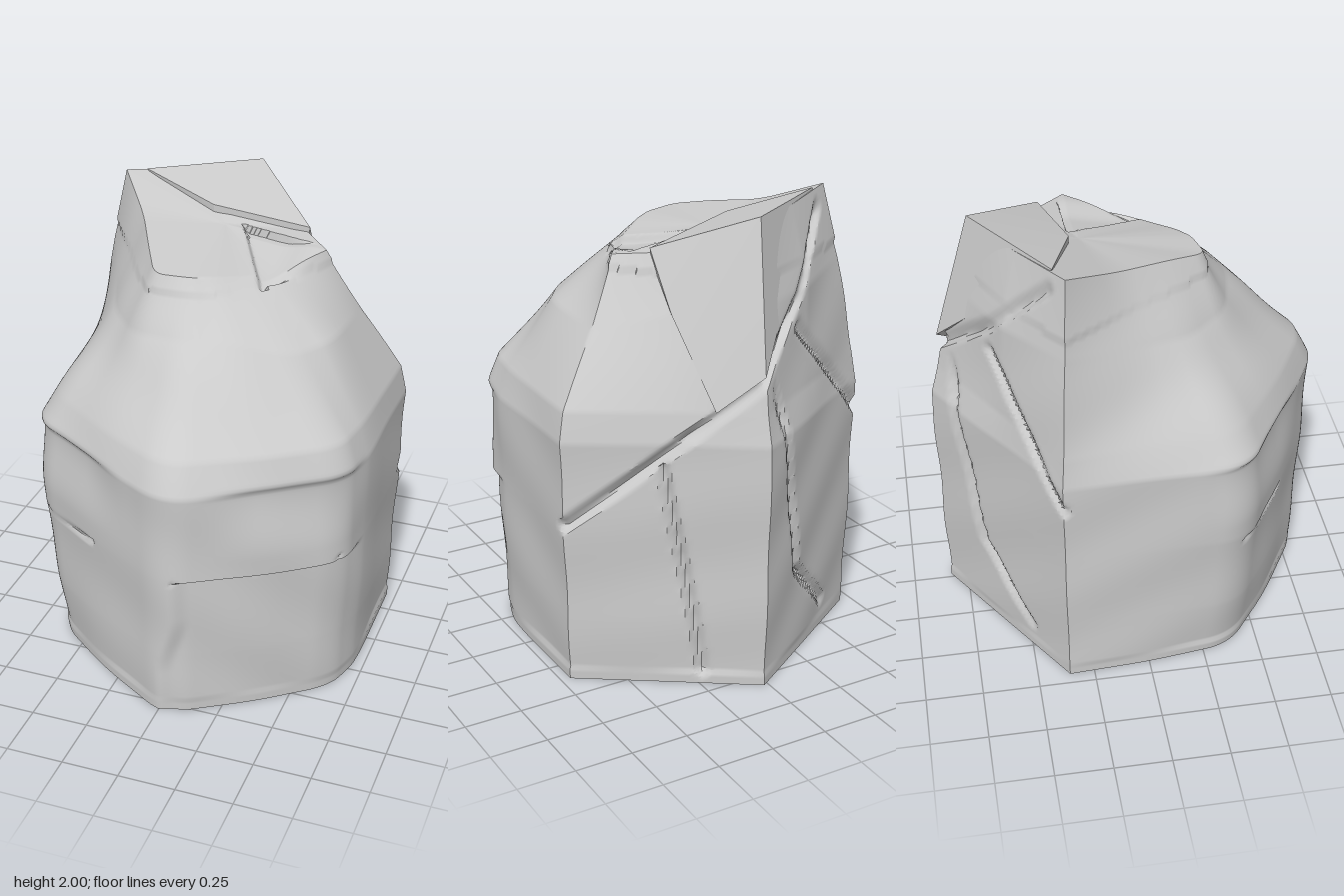
import * as THREE from 'three';
import { toCreasedNormals } from 'three/addons/utils/BufferGeometryUtils.js';
import { ConvexGeometry } from 'three/addons/geometries/ConvexGeometry.js';

const V = (p) => new THREE.Vector3(...p);
const smooth = THREE.MathUtils.smoothstep;

// Footprint corners (x, z), clockwise seen from above, starting at the back tip
const footprint = [
  [0.02, -0.84], [0.37, -0.61], [0.73, -0.38], [0.74, 0.15], [0.7, 0.43], [0.4, 0.66],
  [0.05, 0.86], [-0.35, 0.63], [-0.71, 0.42], [-0.7, 0], [-0.72, -0.37], [-0.34, -0.61],
];
// How far each corner draws in at the ground
const tuck = [0.985, 0.98, 0.97, 0.96, 0.96, 0.96, 0.97, 0.96, 0.89, 0.97, 0.97, 0.98];
// Where each corner runs on to: a point on the sloping shoulder and one on the top rim
const shoulder = [
  [0, 1.65, -0.72], [0.28, 1.6, -0.47], [0.54, 1.52, -0.29], [0.53, 1.54, 0.1], [0.41, 1.54, 0.29], [0.19, 1.6, 0.38],
  [0, 1.6, 0.43], [-0.25, 1.58, 0.38], [-0.4, 1.57, 0.2], [-0.48, 1.6, -0.02], [-0.63, 1.68, -0.34], [-0.33, 1.65, -0.56],
];
const rim = [
  [-0.03, 1.98, -0.64], [0.27, 1.82, -0.34], [0.4, 1.8, -0.21], [0.25, 1.77, 0.03], [0.15, 1.78, 0.13], [0.05, 1.8, 0.22],
  [-0.03, 1.81, 0.27], [-0.18, 1.82, 0.3], [-0.27, 1.86, 0.13], [-0.38, 1.9, -0.09], [-0.55, 2, -0.32], [-0.28, 1.98, -0.49],
];
// Cracks and ledges: half width, depth, then the path
const cracks = [
  [0.036, 0.04, [[0.73, 0.73, -0.38], [0.22, 1.2, -0.71], [0.03, 1.36, -0.8], [-0.25, 1.62, -0.59], [-0.48, 1.92, -0.38]]],
  [0.032, 0.035, [[0.39, 1.0, -0.6], [0.27, 0.3, -0.67], [0.24, 0.06, -0.69]]],
  [0.034, 0.03, [[-0.26, 1.5, -0.62], [-0.74, 0.97, -0.37]]],
  [0.034, 0.03, [[-0.06, 1.33, -0.78], [-0.23, 0.43, -0.67], [-0.5, 0.13, -0.51]]],
  [0.02, 0.03, [[0.08, 0.69, 0.81], [0.39, 0.69, 0.64], [0.67, 0.71, 0.42]]],
  [0.02, 0.02, [[-0.66, 0.67, 0.42], [-0.36, 0.68, 0.62]]],
].map(([width, depth, path]) => ({
  width, depth,
  lines: path.slice(1).map((p, i) => new THREE.Line3(V(path[i]), V(p))),
}));

// Push a surface point inward for cracks, sunken front panels and gentle waves
function weather(p) {
  const near = new THREE.Vector3();
  let sink = 0.008 * (Math.sin(p.x * 7 + p.y * 5) * Math.sin(p.z * 6 - p.y * 7) + 0.4);
  if (p.y < 0.05 || p.y > 1.75) sink = 0;
  if (p.z > 0.2) {
    const front = smooth(p.z, 0.2, 0.45);
    // lower right panel under the ledge, its left edge wandering with height
    const edge = 0.03 + 0.07 * smooth(p.y, 0.2, 0.5);
    if (p.y < 0.7) sink += 0.03 * front * smooth(p.x, edge - 0.04, edge + 0.04);
    // hollows under the two brows
    const band = smooth(p.y, 0.78, 1.07) * (1 - smooth(p.y, 1.08, 1.12));
    sink += 0.025 * front * band * smooth(Math.abs(p.x), 0.15, 0.4);
  }
  let cut = 0;
  for (const { width, depth, lines } of cracks) {
    for (const line of lines) {
      const d = line.closestPointToPoint(p, true, near).distanceTo(p);
      cut = Math.max(cut, depth * (1 - d / width));
    }
  }
  // plateau drops along a short step on its right
  const right = p.x - 0.03 - (p.z + 0.22) * 0.53;
  if (p.y > 1.74 && p.z > -0.24) p.y -= 0.035 * smooth(right, -0.01, 0.02) * (1 - smooth(p.x, 0.2, 0.36));
  const inward = new THREE.Vector3(0, Math.min(p.y, 1.2), -0.1).sub(p);
  if (inward.lengthSq() > 0.01) p.addScaledVector(inward.normalize(), sink + cut);
  return p;
}

// Point on a ring of corners; the front corners are rounded, the back ones stay sharp
function ringPoint(row, i, f) {
  const n = row.length, r = 0.3;
  const at = (k) => row[(k + n) % n];
  const c = f < 0.5 ? i : (i + 1) % n;
  const off = f < 0.5 ? f : f - 1;
  if (c < 3 || c > 9 || Math.abs(off) >= r) return at(i).clone().lerp(at(i + 1), f);
  const start = at(c).clone().lerp(at(c - 1), r), end = at(c).clone().lerp(at(c + 1), r);
  return new THREE.QuadraticBezierCurve3(start, at(c), end).getPoint((off / r + 1) / 2);
}

// Main stone: rings of corners lofted from the base to the top
function bodyGeometry() {
  const ring = (scale, y) => footprint.map(([x, z], i) => V([x * scale(i), y, z * scale(i)]));
  const brow = [0.97, 0.97, 0.97, 0.965, 0.95, 0.95, 0.93, 0.93, 0.89, 0.93, 0.99, 0.97];
  const rings = [
    footprint.map(() => V([0, 0.01, 0])),
    ring((i) => tuck[i], 0.005), ring((i) => (1 + tuck[i]) / 2, 0.3),
    ring(() => 1, 0.7), ring(() => 1.01, 1.1), ring((i) => brow[i], 1.23),
    shoulder.map(V), rim.map(V),
    rim.map(() => V([-0.05, 1.86, -0.2])),
  ];
  const steps = [2, 20, 28, 28, 10, 26, 20, 24];
  const perSide = 22, count = footprint.length * perSide;
  const positions = [], index = [];
  const addRow = (lower, upper, t) => {
    const row = lower.map((p, i) => p.clone().lerp(upper[i], t));
    for (let u = 0; u < count; u++) {
      const p = ringPoint(row, Math.floor(u / perSide), (u % perSide) / perSide);
      positions.push(...weather(p).toArray());
    }
  };
  steps.forEach((n, k) => {
    for (let s = 0; s < n; s++) addRow(rings[k], rings[k + 1], s / n);
  });
  addRow(rings.at(-1), rings.at(-1), 0);
  const rows = positions.length / 3 / count;
  for (let v = 0; v < rows - 1; v++) {
    for (let u = 0; u < count; u++) {
      const a = v * count + u, b = v * count + (u + 1) % count;
      if (v > 0) index.push(a, a + count, b);
      if (v < rows - 2) index.push(b, a + count, b + count);
    }
  }
  const g = new THREE.BufferGeometry();
  g.setAttribute('position', new THREE.Float32BufferAttribute(positions, 3));
  g.setIndex(index);
  return toCreasedNormals(g, 0.7);
}

export function createModel() {
  const rock = new THREE.Group();
  rock.name = 'rock';
  const stone = new THREE.MeshStandardMaterial({ color: 0xcccccc });
  const add = (name, geometry) => {
    const mesh = new THREE.Mesh(geometry, stone);
    mesh.name = name;
    rock.add(mesh);
  };

  add('mainStone', bodyGeometry());

  // Split slab resting on the back of the crown and reaching down to the long crack
  const slab = [
    [-0.47, 2, -0.36], [-0.12, 1.92, -0.25], [0.29, 1.84, -0.33], [-0.03, 2, -0.65],
    [-0.4, 1.9, -0.36], [-0.12, 1.84, -0.25], [0.28, 1.78, -0.33],
    [0.28, 1.6, -0.49], [0.2, 1.24, -0.71], [0.03, 1.39, -0.805],
  ];
  add('crownSlab', toCreasedNormals(new ConvexGeometry(slab.map(V)), 0.4));
  return rock;
}
